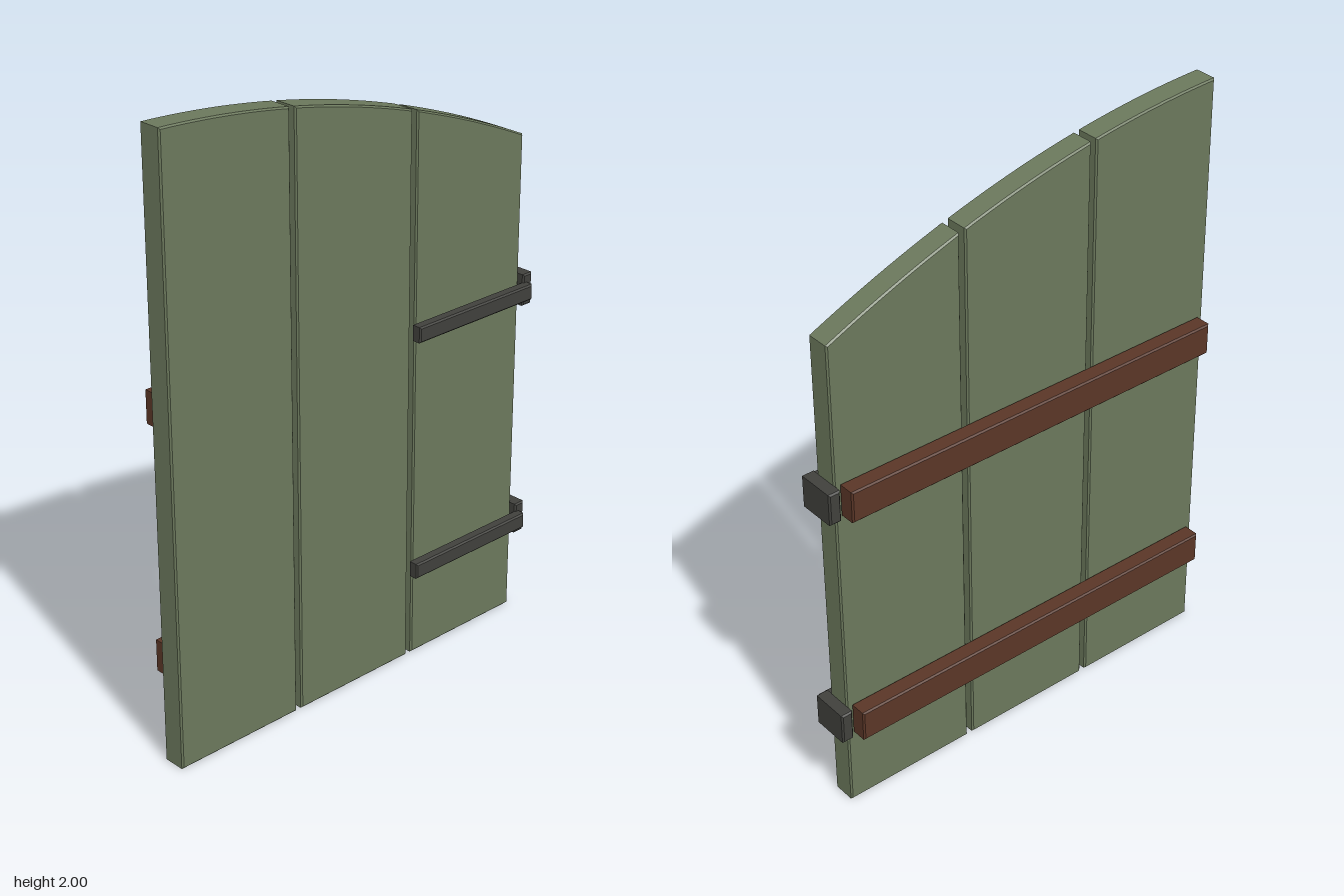
import * as THREE from 'three';

const paint = new THREE.MeshStandardMaterial({ name: 'greenPaint', color: 0x6b785c });
const wood = new THREE.MeshStandardMaterial({ name: 'brownWood', color: 0x5a3627 });
const iron = new THREE.MeshStandardMaterial({ name: 'darkIron', color: 0x40403c });

const BEVEL = 0.005;

// Height of the arched top edge at a given x
const archY = (x) => {
  const t = x + 0.73;
  return 2 - 0.0277 * t - 0.1516 * t * t;
};

// Slab with softened edges: spans x0..x1 and z0..z1, with top(x) as its upper edge
function slab(name, material, x0, x1, y0, top, z0, z1, steps = 1) {
  const shape = new THREE.Shape();
  shape.moveTo(x0, y0);
  shape.lineTo(x1, y0);
  for (let i = 0; i <= steps; i++) {
    const x = x1 + (x0 - x1) * (i / steps);
    shape.lineTo(x, top(x));
  }
  shape.closePath();
  const geometry = new THREE.ExtrudeGeometry(shape, {
    depth: z1 - z0 - 2 * BEVEL,
    bevelThickness: BEVEL,
    bevelSize: BEVEL,
    bevelOffset: -BEVEL,
    bevelSegments: 1,
  });
  geometry.translate(0, 0, z0 + BEVEL);
  const mesh = new THREE.Mesh(geometry, material);
  mesh.name = name;
  return mesh;
}

export function createModel() {
  const model = new THREE.Group();
  model.name = 'plankShutter';

  // Three upright planks under one sweeping arch
  [[-0.73, -0.27], [-0.251, 0.208], [0.228, 0.688]].forEach(([x0, x1], i) => {
    model.add(slab(`plank${i + 1}`, paint, x0, x1, 0, archY, -0.036, 0.045, 12));
  });

  // Back brace, front strap and hinge block at each of two heights
  [['lower', 0.328], ['upper', 1.143]].forEach(([level, y]) => {
    const bar = (part, material, x0, x1, half, z0, z1) =>
      model.add(slab(level + part, material, x0, x1, y - half, () => y + half, z0, z1));
    bar('Brace', wood, -0.705, 0.67, 0.053, -0.095, -0.036);
    bar('HingeStrap', iron, 0.202, 0.702, 0.026, 0.057, 0.094);
    bar('HingeBlock', iron, 0.687, 0.727, 0.053, -0.065, 0.067);
  });

  return model;
}
